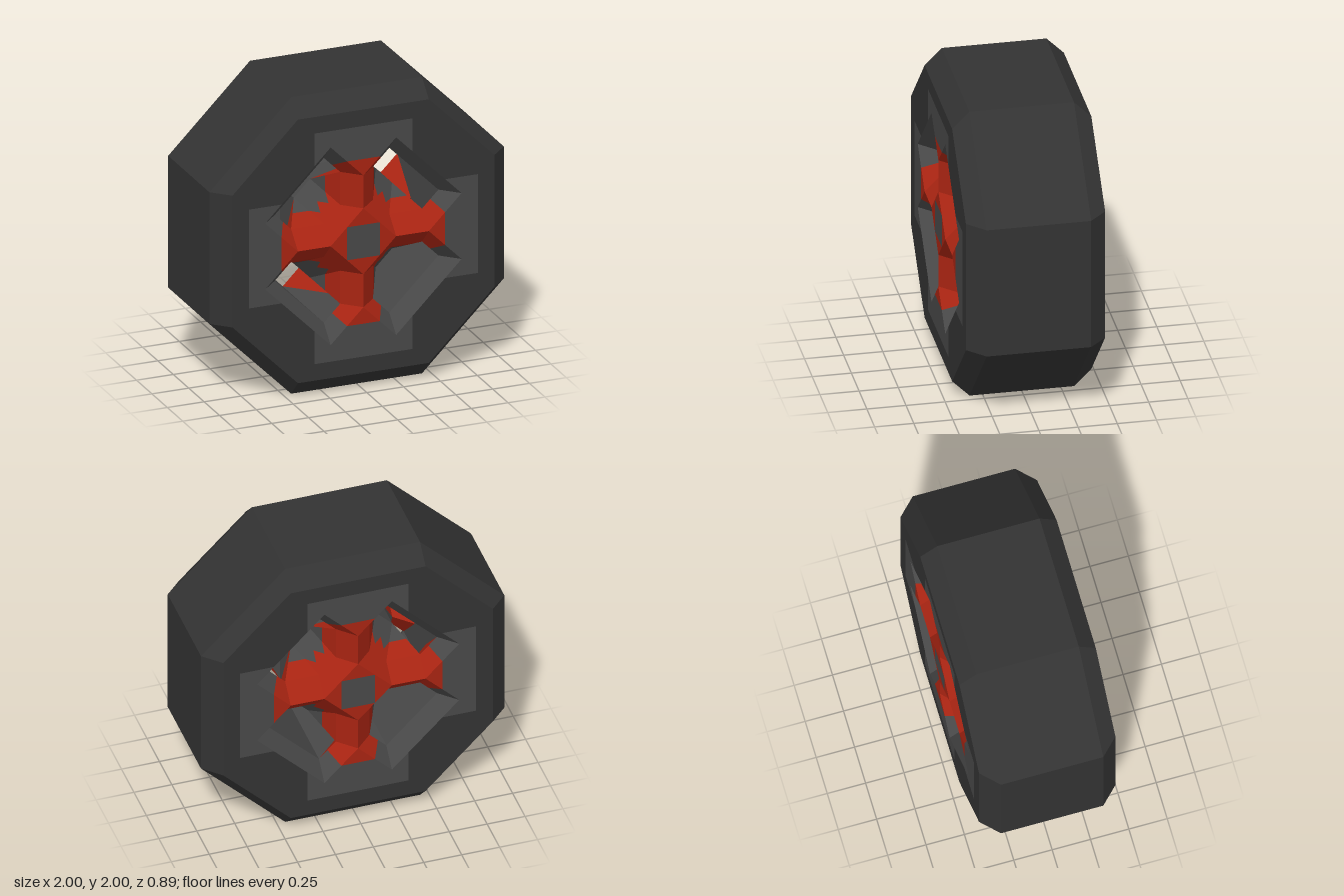
import * as THREE from 'three';

const U = 1 / 9; // grid unit; the wheel is 18 units across and 8 deep

// Each part lists the faces of one wedge (0 <= x <= y, z >= 0).
// The wedge is mirrored in x, y, z and across the diagonal, 16 copies in all.
const parts = {
  tire: {
    color: 0x333333,
    faces: [
      // side wall
      [[0, 7, 4], [3, 7, 4], [4, 8, 4], [0, 8, 4]],
      [[3, 7, 4], [3, 5, 4], [4, 4, 4], [6, 6, 4], [4, 8, 4]],
      // chamfered shoulder
      [[0, 8, 4], [4, 8, 4], [4, 9, 3], [0, 9, 3]],
      [[4, 8, 4], [6, 6, 4], [6.5, 6.5, 3], [4, 9, 3]],
      // tread
      [[0, 9, 3], [4, 9, 3], [4, 9, 0], [0, 9, 0]],
      [[4, 9, 3], [6.5, 6.5, 3], [6.5, 6.5, 0], [4, 9, 0]],
    ],
  },
  rim: {
    color: 0x484848,
    faces: [
      // lighter band around the windows
      [[0, 5, 4], [1, 5, 4], [2, 6, 4], [2, 7, 4], [0, 7, 4]],
      [[2, 6, 4], [3, 5, 4], [3, 7, 4], [2, 7, 4]],
      // window bevels
      [[2, 5, 3], [3.5, 3.5, 3], [4, 4, 4], [2, 6, 4]],
      [[1, 5, 4], [1.5, 4.5, 3], [2, 5, 3], [2, 6, 4]],
      // inner wall
      [[0, 5, 3], [0, 5, 0], [2, 5, 0], [2, 5, 3]],
      [[2, 5, 3], [2, 5, 0], [3.5, 3.5, 0], [3.5, 3.5, 3]],
    ],
  },
  spokes: {
    color: 0xa82412,
    faces: [
      // root at the rim
      [[0, 4, 4], [1, 5, 4], [0, 5, 4]],
      [[0, 4, 4], [1, 4, 3], [1.5, 4.5, 3], [1, 5, 4]],
      [[2, 5, 3], [1, 4, 3], [0, 4, 2]],
      [[2, 5, 3], [0, 4, 2], [0, 5, 1]],
      // ridged bar
      [[0, 2, 4], [1, 2, 3], [1, 4, 3], [0, 4, 4]],
      // flat hub front and its bevel
      [[0, 1, 4], [1, 1, 4], [0, 2, 4]],
      [[0, 2, 4], [1, 1, 4], [1.5, 1.5, 3], [1, 2, 3]],
      [[1, 2, 3], [1.5, 1.5, 3], [2, 2, 2]],
      // flanks widening toward the axle
      [[1, 2, 3], [1.5, 2, 2.5], [1.5, 2.5, 2]],
      [[1, 2, 3], [1.5, 2.5, 2], [1.5, 3.5, 2], [1, 4, 3]],
      [[1, 4, 3], [2, 3, 1], [0, 4, 2]],
    ],
  },
  hubCap: {
    color: 0x484848,
    faces: [[[0, 0, 4], [1, 1, 4], [0, 1, 4]]],
  },
  axle: {
    color: 0x484848,
    faces: [
      [[1.5, 2, 2.5], [2, 2, 2], [2, 3, 1], [1.5, 2.5, 2]],
      [[1.5, 2.5, 2], [2, 3, 1], [1.5, 3.5, 2]],
      [[2, 2, 2], [2.5, 2.5, 1], [2, 3, 1]],
      [[0, 4, 2], [2, 3, 1], [0, 3, 1]],
      [[0, 3, 1], [2, 3, 1], [2, 3, 0], [0, 3, 0]],
      [[2, 3, 1], [2.5, 2.5, 1], [2.5, 2.5, 0], [2, 3, 0]],
    ],
  },
};

// Fans each face into triangles and repeats it by symmetry, turning mirrored copies.
function symmetricGeometry(faces) {
  const positions = [];
  for (const sx of [1, -1]) for (const sy of [1, -1]) for (const sz of [1, -1]) for (const swap of [1, -1]) {
    const flip = sx * sy * sz * swap < 0;
    const place = ([x, y, z]) => {
      const [a, b] = swap > 0 ? [x, y] : [y, x];
      positions.push(a * sx * U, b * sy * U + 1, z * sz * U);
    };
    for (const f of faces) {
      for (let i = 1; i < f.length - 1; i++) {
        const tri = [f[0], f[i], f[i + 1]];
        (flip ? tri.reverse() : tri).forEach(place);
      }
    }
  }
  const geometry = new THREE.BufferGeometry();
  geometry.setAttribute('position', new THREE.Float32BufferAttribute(positions, 3));
  geometry.computeVertexNormals();
  return geometry;
}

export function createModel() {
  const wheel = new THREE.Group();
  wheel.name = 'wheel';
  for (const [name, { color, faces }] of Object.entries(parts)) {
    const material = new THREE.MeshStandardMaterial({ color, flatShading: true });
    const mesh = new THREE.Mesh(symmetricGeometry(faces), material);
    mesh.name = name;
    wheel.add(mesh);
  }
  return wheel;
}
